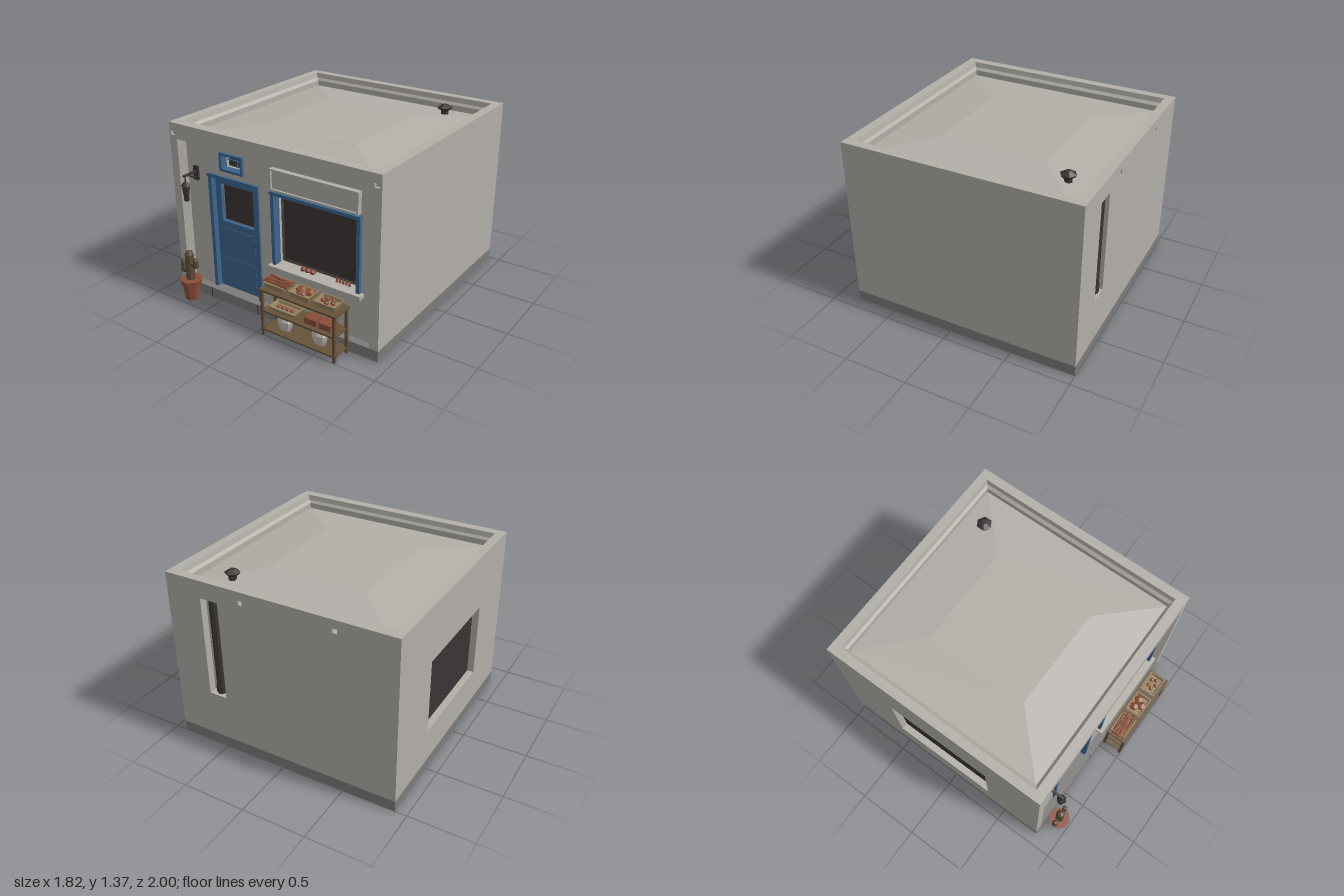
import * as THREE from 'three';

const mat = (name, color) => Object.assign(new THREE.MeshStandardMaterial({ color }), { name });
const M = {
  wall: mat('plaster', 0xb2aea8), base: mat('stone base', 0x7d7b79), blue: mat('blue paint', 0x3c648d),
  dark: mat('charcoal', 0x3b3534), wood: mat('wood', 0x67523a), tan: mat('crate tan', 0x93815f),
  clay: mat('terracotta', 0x8a4e38), cactus: mat('cactus', 0x5b4c37), sack: mat('pale sack', 0xbdbbb6),
  shade: mat('dim interior', 0x5a554e),
};

// Faceted mesh
function add(parent, name, geo, material, x = 0, y = 0, z = 0) {
  const g = geo.index ? geo.toNonIndexed() : geo;
  g.computeVertexNormals();
  const mesh = new THREE.Mesh(g, material);
  mesh.name = name;
  mesh.position.set(x, y, z);
  parent.add(mesh);
  return mesh;
}
const box = (p, name, m, x0, x1, y0, y1, z0, z1) =>
  add(p, name, new THREE.BoxGeometry(x1 - x0, y1 - y0, z1 - z0), m, (x0 + x1) / 2, (y0 + y1) / 2, (z0 + z1) / 2);
const cyl = (p, name, m, rt, rb, h, sides, x, y, z) =>
  add(p, name, new THREE.CylinderGeometry(rt, rb, h, sides), m, x, y, z);
function group(parent, name) {
  const g = new THREE.Group();
  g.name = name;
  parent.add(g);
  return g;
}

// Skin through four-cornered loops, closed at the last loop
function loft(loops, cap = true) {
  const pos = [];
  const quad = (a, b, c, d) => pos.push(...a, ...b, ...c, ...a, ...c, ...d);
  for (let k = 0; k + 1 < loops.length; k++) {
    for (let i = 0; i < 4; i++) {
      const j = (i + 1) % 4;
      quad(loops[k][i], loops[k][j], loops[k + 1][j], loops[k + 1][i]);
    }
  }
  if (cap) quad(...loops[loops.length - 1]);
  return new THREE.BufferGeometry().setAttribute('position', new THREE.Float32BufferAttribute(pos, 3));
}
const flatLoop = (x0, x1, z0, z1, y) => [[x0, y, z0], [x0, y, z1], [x1, y, z1], [x1, y, z0]];
const frontLoop = (x0, x1, y0, y1, z) => [[x0, y1, z], [x0, y0, z], [x1, y0, z], [x1, y1, z]];

// Slab from an outline with rectangular openings [x0, x1, y0, y1]
const rectPts = ([x0, x1, y0, y1]) => [[x0, y0], [x1, y0], [x1, y1], [x0, y1]].map(p => new THREE.Vector2(...p));
function slab(outline, holes, depth) {
  const s = new THREE.Shape(outline);
  for (const h of holes) s.holes.push(new THREE.Path(rectPts(h)));
  return new THREE.ExtrudeGeometry(s, { depth, bevelEnabled: false });
}
// Rectangular border of a given thickness
const border = (p, name, m, [x0, x1, y0, y1], t, z0, z1) =>
  add(p, name, slab(rectPts([x0, x1, y0, y1]), [[x0 + t, x1 - t, y0 + t, y1 - t]], z1 - z0), m, 0, 0, z0);

function buildShell(root) {
  const g = group(root, 'building');
  box(g, 'base', M.base, -0.91, 0.91, 0, 0.085, -1, 0.82);
  box(g, 'core', M.wall, -0.85, 0.85, 0.05, 1.25, -0.94, 0.68);
  box(g, 'leftWall', M.wall, 0.85, 0.91, 0.085, 1.37, -1, 0.8);
  // window wall
  add(g, 'rightWall', slab(rectPts([-1, 0.8, 0.085, 1.37]), [[-0.51, 0.35, 0.35, 0.935]], 0.06), M.wall, -0.85)
    .rotation.y = -Math.PI / 2;
  box(g, 'sideGlass', M.dark, -0.858, -0.85, 0.35, 0.935, -0.51, 0.35);
  // back wall with pipe slot and drain holes
  const drains = [-0.28, 0.45].map(x => [x - 0.017, x + 0.017, 1.272, 1.306]);
  add(g, 'backWall', slab(rectPts([-0.91, 0.91, 0.085, 1.37]), [[-0.62, -0.475, 0.45, 1.235], ...drains], 0.06),
    M.wall, 0, 0, -0.94).rotation.y = Math.PI;
  cyl(g, 'drainPipe', M.dark, 0.033, 0.033, 0.77, 8, 0.54, 0.845, -0.96);
  cyl(g, 'pipeCollar', M.dark, 0.04, 0.04, 0.05, 8, 0.54, 0.5, -0.958);
  // front surround, open at the foot, with bevelled reveal
  const arch = [[-0.91, 0.085], [-0.84, 0.085], [-0.84, 1.25], [0.84, 1.25], [0.84, 0.085], [0.91, 0.085], [0.91, 1.37], [-0.91, 1.37]];
  const corners = [-1, 1].map(s => [s * 0.875 - 0.02, s * 0.875 + 0.02, 1.275, 1.305]);
  add(g, 'frontSurround', slab(arch.map(p => new THREE.Vector2(...p)), corners, 0.02), M.wall, 0, 0, 0.8);
  box(g, 'frontLintel', M.wall, -0.9, 0.9, 1.25, 1.365, 0.745, 0.8);
  add(g, 'frontReveal', loft([frontLoop(-0.84, 0.84, 0.08, 1.25, 0.82), frontLoop(-0.81, 0.81, 0.08, 1.225, 0.76)], false), M.wall);
  add(g, 'frontWall', slab(rectPts([-0.85, 0.85, 0.08, 1.24]),
    [[-0.58, -0.15, 0.083, 1.01], [0.01, 0.715, 0.45, 1.01], [-0.465, -0.27, 1.08, 1.2]], 0.08), M.wall, 0, 0, 0.68);
  for (const x of [-0.595, -0.138, 0.36]) box(g, 'baseJoint', M.dark, x - 0.004, x + 0.004, 0, 0.085, 0.815, 0.822);
  // parapet and gently raised roof
  add(g, 'roof', loft([
    flatLoop(-0.91, 0.91, -1, 0.82, 1.37), flatLoop(-0.84, 0.84, -0.93, 0.745, 1.37),
    flatLoop(-0.832, 0.832, -0.922, 0.737, 1.33), flatLoop(-0.81, 0.81, -0.905, 0.72, 1.31),
    flatLoop(-0.81, 0.81, -0.905, 0.72, 1.265), flatLoop(-0.4, 0.4, -0.5, 0.32, 1.31),
  ]), M.wall);
  cyl(g, 'ventPipe', M.dark, 0.03, 0.03, 0.08, 6, 0.54, 1.3, -0.73);
  cyl(g, 'ventCap', M.dark, 0.02, 0.06, 0.025, 6, 0.54, 1.352, -0.73);
  cyl(g, 'ventCapRim', M.dark, 0.06, 0.045, 0.02, 6, 0.54, 1.33, -0.73);
}

function buildFront(root) {
  // door
  const d = group(root, 'door');
  for (const x of [-0.6, -0.16]) box(d, 'doorJamb', M.blue, x, x + 0.03, 0.085, 1.0, 0.7, 0.775);
  box(d, 'doorHead', M.blue, -0.605, -0.128, 1.0, 1.025, 0.7, 0.78);
  add(d, 'doorLeaf', slab(rectPts([-0.575, -0.155, 0.085, 1.005]), [[-0.52, -0.215, 0.645, 0.945]], 0.03), M.blue, 0, 0, 0.7);
  for (const [a, b] of [[0.14, 0.34], [0.39, 0.59]]) box(d, 'doorPanel', M.blue, -0.52, -0.215, a, b, 0.725, 0.734);
  box(d, 'doorShutter', M.shade, -0.525, -0.21, 0.64, 0.95, 0.682, 0.69);
  for (const y of [0.69, 0.93]) box(d, 'shutterSlat', M.wood, -0.52, -0.215, y - 0.012, y + 0.012, 0.69, 0.694);
  box(d, 'doorGlass', M.dark, -0.51, -0.225, 0.655, 0.932, 0.696, 0.704);
  add(d, 'doorKnob', new THREE.IcosahedronGeometry(0.013, 1), M.dark, -0.195, 0.54, 0.742);

  // transom above the door
  const t = group(root, 'transom');
  border(t, 'transomFrame', M.blue, [-0.475, -0.26, 1.07, 1.21], 0.02, 0.72, 0.78);
  box(t, 'transomBack', M.shade, -0.46, -0.275, 1.085, 1.195, 0.682, 0.69);
  box(t, 'transomGlass', M.dark, -0.447, -0.288, 1.1, 1.182, 0.692, 0.7);
  box(t, 'transomBar', M.blue, -0.455, -0.28, 1.137, 1.144, 0.7, 0.71);
  box(t, 'transomMullion', M.blue, -0.371, -0.364, 1.09, 1.19, 0.7, 0.71);

  // blank sign board
  box(root, 'signBoard', M.wall, 0, 0.725, 1.04, 1.2, 0.76, 0.785);
  border(root, 'signRim', M.wall, [0, 0.725, 1.04, 1.2], 0.012, 0.785, 0.8);

  // shop window
  const w = group(root, 'shopWindow');
  for (const x of [-0.01, 0.703]) box(w, 'windowPost', M.blue, x, x + 0.027, 0.455, 1.0, 0.72, 0.785);
  box(w, 'windowHead', M.blue, -0.015, 0.735, 1.0, 1.025, 0.72, 0.79);
  box(w, 'windowBack', M.shade, 0.01, 0.715, 0.45, 1.01, 0.682, 0.688);
  for (const y of [0.69, 0.89]) box(w, 'windowShelf', M.wood, 0.018, 0.705, y - 0.008, y + 0.008, 0.688, 0.696);
  box(w, 'windowGlass', M.dark, 0.05, 0.68, 0.487, 0.97, 0.7, 0.708);
  box(w, 'windowSill', M.wall, -0.03, 0.755, 0.425, 0.455, 0.7, 0.815);
  for (let i = 0; i < 5; i++) {
    cyl(w, 'windowCarrot', M.clay, 0.004, 0.011, 0.045, 5, 0.515 + i * 0.026, 0.472, 0.73);
    if (i < 3) add(w, 'windowFruit', new THREE.IcosahedronGeometry(0.025, 0), M.clay, 0.23 + i * 0.04, 0.463, 0.73);
  }
}

// Flared open crate centred on x, resting at y
function crate(p, x, y, z, w, dp, h) {
  const ring = (k, yy) => flatLoop(x - w / 2 + k, x + w / 2 - k, z - dp / 2 + k, z + dp / 2 - k, yy);
  add(p, 'crate', loft([ring(0.02, y), ring(0, y + h), ring(0.01, y + h), ring(0.018, y + h * 0.5)]), M.tan);
}

function buildStall(root) {
  const g = group(root, 'stall');
  for (const x of [0.045, 0.66]) for (const z of [0.832, 0.978]) box(g, 'stallLeg', M.wood, x, x + 0.02, 0, 0.36, z, z + 0.02);
  box(g, 'stallTop', M.wood, 0.035, 0.688, 0.355, 0.37, 0.825, 1);
  box(g, 'middleShelf', M.wood, 0.05, 0.675, 0.19, 0.203, 0.835, 0.995);
  box(g, 'lowerShelf', M.wood, 0.05, 0.675, 0.038, 0.05, 0.835, 0.995);
  for (const x of [0.145, 0.362, 0.573]) crate(g, x, 0.37, 0.912, 0.18, 0.13, 0.05);
  crate(g, 0.212, 0.203, 0.918, 0.235, 0.12, 0.038);
  // carrots, large fruit, small fruit
  for (let i = 0; i < 6; i++) {
    const c = cyl(g, 'carrot', M.clay, 0.005, 0.015, 0.205, 6, 0.146, 0.418 + (i % 2) * 0.012, 0.868 + i * 0.018);
    c.rotation.set(0, [0.12, -0.14, 0.05][i % 3], (i % 2 ? 1 : -1) * Math.PI / 2);
  }
  for (let i = 0; i < 3; i++) {
    const a = i * Math.PI * 2 / 3 + Math.PI / 2;
    const f = add(g, 'largeFruit', new THREE.DodecahedronGeometry(0.038), M.clay, 0.362 + 0.04 * Math.cos(a), 0.412, 0.908 + 0.03 * Math.sin(a));
    f.scale.y = 0.65;
  }
  for (let i = 0; i < 5; i++) {
    const a = i * Math.PI * 0.4 + Math.PI / 2;
    add(g, 'smallFruit', new THREE.IcosahedronGeometry(0.018, 0), M.clay, 0.573 + 0.042 * Math.cos(a), 0.412, 0.91 + 0.028 * Math.sin(a));
  }
  for (let i = 0; i < 4; i++) add(g, 'shelfFruit', new THREE.IcosahedronGeometry(0.02, 0), M.clay, 0.15 + i * 0.04, 0.222, 0.918);
  for (const x of [0.4, 0.52]) box(g, 'clayBox', M.clay, x, x + 0.1, 0.203, 0.25, 0.87, 0.96);
  // sacks
  const profile = [[0, 0], [0.045, 0], [0.06, 0.04], [0.067, 0.075], [0.045, 0.112], [0.022, 0.122], [0, 0.122]].map(p => new THREE.Vector2(...p));
  for (const x of [0.198, 0.498]) add(g, 'sack', new THREE.LatheGeometry(profile, 8), M.sack, x, 0.05, 0.915).scale.z = 0.65;
}

function buildCactus(root) {
  const g = group(root, 'pottedCactus');
  g.position.set(-0.722, 0, 0.91);
  const turn = Math.PI / 8;
  cyl(g, 'pot', M.clay, 0.072, 0.055, 0.13, 8, 0, 0.065, 0).rotation.y = turn;
  cyl(g, 'potRim', M.clay, 0.087, 0.08, 0.04, 8, 0, 0.147, 0).rotation.y = turn;
  const stem = (name, r, x, y0, y1) => {
    const pts = [[0, y0], [r * 0.8, y0], [r, y0 + r * 0.5], [r, y1 - r], [r * 0.7, y1 - r * 0.3], [0, y1]];
    add(g, name, new THREE.LatheGeometry(pts.map(p => new THREE.Vector2(...p)), 8), M.cactus, x);
  };
  stem('trunk', 0.034, 0, 0.15, 0.41);
  stem('rightArm', 0.021, -0.068, 0.21, 0.32);
  stem('leftArm', 0.021, 0.062, 0.275, 0.36);
  box(g, 'rightElbow', M.cactus, -0.07, 0, 0.212, 0.242, -0.016, 0.016);
  box(g, 'leftElbow', M.cactus, 0, 0.064, 0.277, 0.307, -0.016, 0.016);
}

function buildLamp(root) {
  const g = group(root, 'wallLamp');
  g.position.set(-0.722, 0, 0);
  box(g, 'lampPlate', M.dark, -0.024, 0.024, 0.94, 1.05, 0.755, 0.775);
  box(g, 'lampArm', M.dark, -0.008, 0.008, 1.0, 1.015, 0.77, 0.9);
  const curve = new THREE.QuadraticBezierCurve3(new THREE.Vector3(0, 0.955, 0.77), new THREE.Vector3(0, 0.985, 0.83), new THREE.Vector3(0, 1.003, 0.85));
  add(g, 'lampBrace', new THREE.TubeGeometry(curve, 6, 0.007, 5), M.dark);
  const parts = [['lampHook', 0.005, 0.005, 0.05, 0.985], ['lampCap', 0.008, 0.037, 0.035, 0.948],
    ['lampBody', 0.031, 0.02, 0.105, 0.878], ['lampFoot', 0.024, 0.02, 0.014, 0.819]];
  for (const [name, rt, rb, h, y] of parts) cyl(g, name, M.dark, rt, rb, h, 6, 0, y, 0.885);
}

export function createModel() {
  const root = new THREE.Group();
  root.name = 'cornerShop';
  for (const build of [buildShell, buildFront, buildStall, buildCactus, buildLamp]) build(root);
  return root;
}
